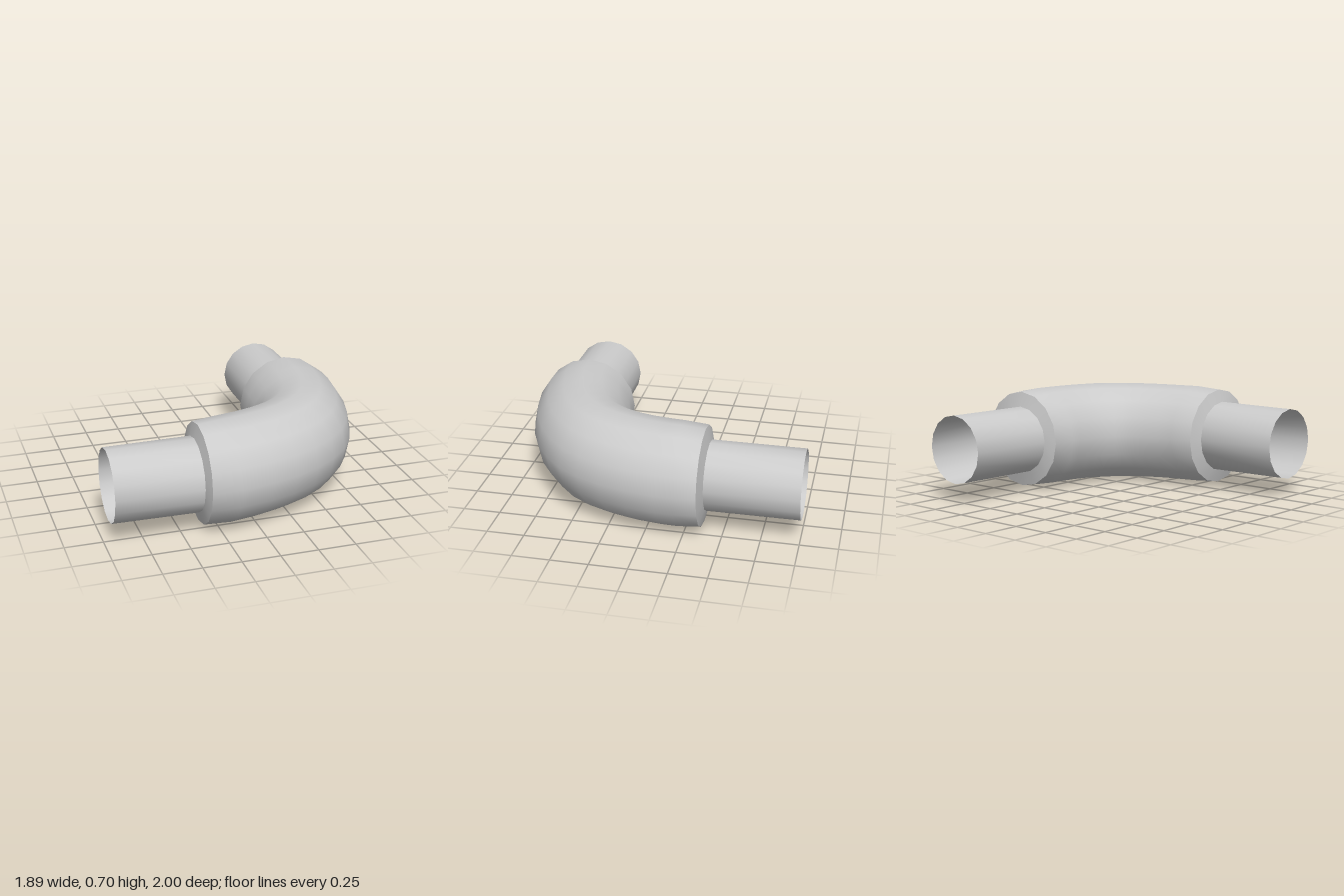
import * as THREE from 'three';

const SIDES = 16;
const AXIS_Y = 0.35;

// Each ring: [inner x, inner z, outer x, outer z, vertical radius]
function skin(name, rings, material) {
  const pos = [], index = [];
  rings.forEach(([ix, iz, ox, oz, ry], i) => {
    for (let j = 0; j < SIDES; j++) {
      const a = (j / SIDES) * Math.PI * 2;
      const t = (1 + Math.cos(a)) / 2;
      pos.push(ix + (ox - ix) * t, AXIS_Y + ry * Math.sin(a), iz + (oz - iz) * t);
      if (i === rings.length - 1) continue;
      const k = (j + 1) % SIDES;
      const p = i * SIDES + j, q = i * SIDES + k;
      index.push(p, p + SIDES, q, q, p + SIDES, q + SIDES);
    }
  });
  const geo = new THREE.BufferGeometry();
  geo.setAttribute('position', new THREE.Float32BufferAttribute(pos, 3));
  geo.setIndex(index);
  geo.computeVertexNormals();
  const mesh = new THREE.Mesh(geo, material);
  mesh.name = name;
  return mesh;
}

export function createModel() {
  const group = new THREE.Group();
  group.name = 'pipeElbow';
  const material = new THREE.MeshStandardMaterial({ color: 0xcccccc, side: THREE.DoubleSide });

  // Curved sleeve, swept from the side pipe round to the rear pipe
  const sleeve = [
    [-0.355, 0.335, -0.355, 0.995, 0.333],
    [-0.2, 0.31, -0.16, 0.995, 0.346],
    [-0.1, 0.285, 0.06, 0.955, 0.346],
    [0, 0.255, 0.24, 0.9, 0.347],
    [0.08, 0.22, 0.41, 0.82, 0.348],
    [0.135, 0.185, 0.56, 0.715, 0.349],
    [0.17, 0.145, 0.69, 0.59, 0.35],
    [0.2, 0.095, 0.785, 0.445, 0.35],
    [0.225, 0.03, 0.855, 0.285, 0.349],
    [0.24, -0.04, 0.905, 0.11, 0.348],
    [0.25, -0.13, 0.935, -0.09, 0.347],
    [0.257, -0.2, 0.94, -0.21, 0.346],
    [0.27, -0.36, 0.93, -0.36, 0.333],
  ];
  // Thin open pipes
  const sidePipe = [
    [-0.95, 0.432, -0.95, 0.916, 0.241],
    [-0.38, 0.428, -0.38, 0.922, 0.246],
  ];
  const rearPipe = [
    [0.353, -0.385, 0.82, -0.385, 0.232],
    [0.355, -1, 0.817, -1, 0.231],
  ];

  group.add(
    skin('sidePipe', sidePipe, material),
    skin('sideShoulder', [sidePipe[1], sleeve[0]], material),
    skin('elbowSleeve', sleeve, material),
    skin('rearShoulder', [sleeve[sleeve.length - 1], rearPipe[0]], material),
    skin('rearPipe', rearPipe, material),
  );
  return group;
}
